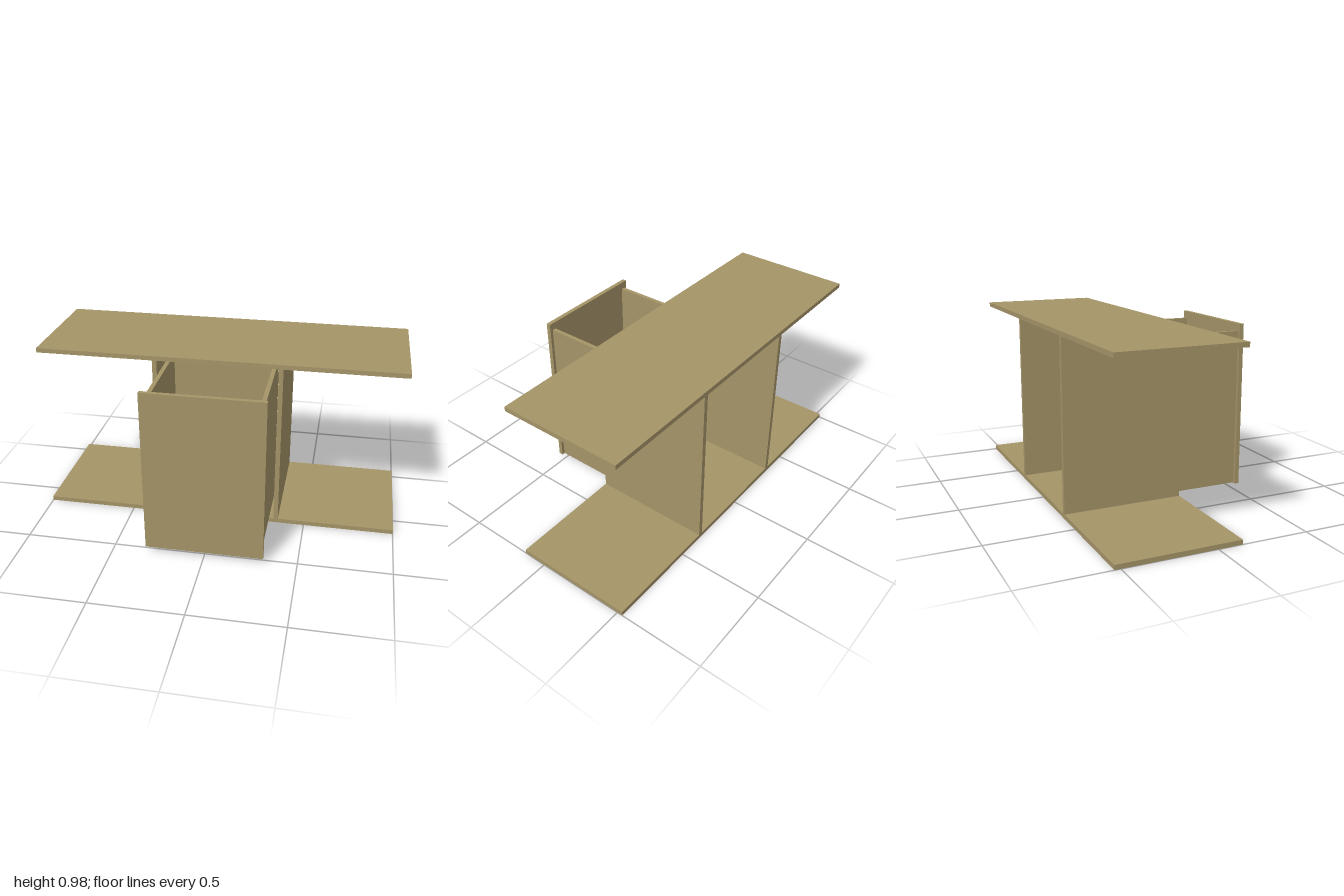
import * as THREE from 'three';

const wood = new THREE.MeshStandardMaterial({ color: 0xa59468 });

// Board spanning [x0,x1] x [y0,y1] x [z0,z1]
function board(name, [x0, x1], [y0, y1], [z0, z1]) {
  const mesh = new THREE.Mesh(new THREE.BoxGeometry(x1 - x0, y1 - y0, z1 - z0), wood);
  mesh.position.set((x0 + x1) / 2, (y0 + y1) / 2, (z0 + z1) / 2);
  mesh.name = name;
  return mesh;
}

export function createModel() {
  const model = new THREE.Group();
  model.name = 'shelfWithDrawer';
  const t = 0.025; // board thickness
  const H = 0.975;
  const depth = [-0.532, 0.133];

  // Open carcass: two long shelves joined by two dividers
  const carcass = new THREE.Group();
  carcass.name = 'carcass';
  carcass.add(
    board('bottomShelf', [-1, 1], [0, t], depth),
    board('topShelf', [-1, 1], [H - t, H], depth),
    board('rightDivider', [-0.352, -0.327], [t, H - t], depth),
    board('leftDivider', [0.327, 0.352], [t, H - t], depth),
  );

  // Open-topped drawer, pulled forward
  const drawer = new THREE.Group();
  drawer.name = 'drawer';
  const y = [0.032, 0.905];
  const out = 0.303, inn = 0.28;
  const back = -0.105, front = 0.508;
  drawer.add(
    board('drawerFront', [-0.32, 0.32], [0.03, 0.945], [front, 0.532]),
    board('drawerRightSide', [-out, -inn], y, [back, front]),
    board('drawerLeftSide', [inn, out], y, [back, front]),
    board('drawerBack', [-inn, inn], y, [back, back + t]),
    board('drawerBottom', [-inn, inn], [y[0], y[0] + t], [back + t, front]),
  );

  model.add(carcass, drawer);
  return model;
}
